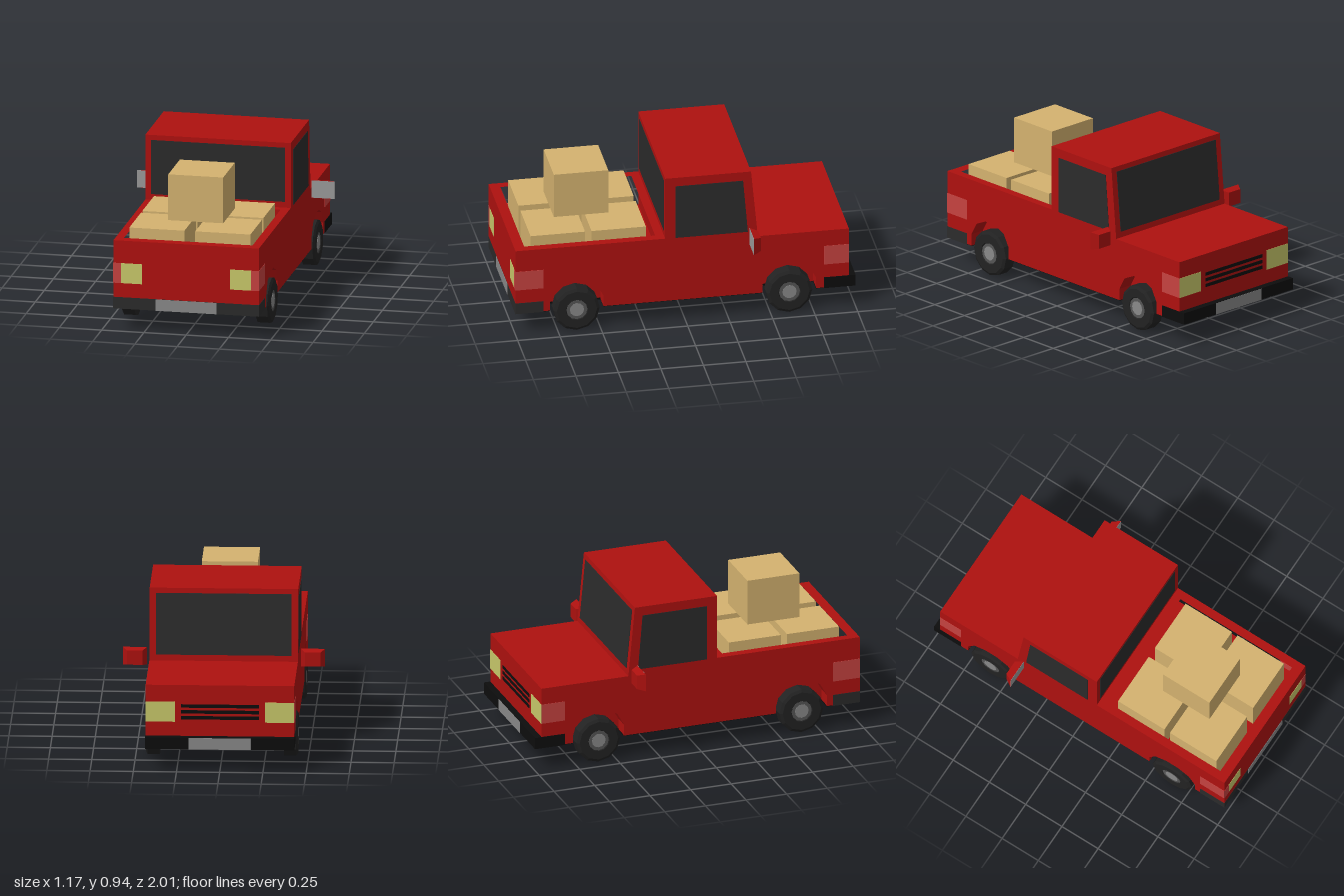
import * as THREE from 'three';

const mat = (color) => new THREE.MeshStandardMaterial({ color, flatShading: true });
const red = mat(0xae110f), black = mat(0x0d0d0d), glass = mat(0x2b2b2b), tyre = mat(0x222222);
const cardboard = mat(0xd4b26f), yellow = mat(0xc8c86a), pink = mat(0xc64240);
const grey = mat(0x888888), darkGrey = mat(0x555555), mirrorGrey = mat(0x999999);

export function createModel() {
  const truck = new THREE.Group();
  truck.name = 'pickupTruck';

  const add = (name, geometry, material) => {
    const mesh = new THREE.Mesh(geometry, material);
    mesh.name = name;
    truck.add(mesh);
    return mesh;
  };
  // Box given by its limits on each axis
  const box = (name, material, x0, x1, y0, y1, z0, z1) => {
    const g = new THREE.BoxGeometry(x1 - x0, y1 - y0, z1 - z0);
    return add(name, g.translate((x0 + x1) / 2, (y0 + y1) / 2, (z0 + z1) / 2), material);
  };
  // Side profile of [z, y] points, extruded from x0 to x1
  const profile = (name, material, points, x0, x1) => {
    const shape = new THREE.Shape(points.map(([z, y]) => new THREE.Vector2(-z, y)));
    const g = new THREE.ExtrudeGeometry(shape, { depth: x1 - x0, bevelEnabled: false });
    return add(name, g.rotateY(Math.PI / 2).translate(x0, 0, 0), material);
  };

  const W = 0.43, FLOOR = 0.33, BASE = 0.14, IN = 0.34;
  const axles = [-0.61, 0.64];

  // Lower body: solid core with side sills cut out by the wheel arches
  box('lowerBody', red, -IN, IN, BASE, FLOOR, -0.96, 1);
  const arch = [[-0.157, 0.14], [-0.157, 0.21], [-0.115, 0.285], [-0.04, 0.32],
    [0.04, 0.32], [0.115, 0.285], [0.157, 0.21], [0.157, 0.14]];
  const sill = [[-0.96, FLOOR], [-0.96, BASE]];
  for (const c of axles) sill.push(...arch.map(([z, y]) => [c + z, y]));
  sill.push([1, BASE], [1, FLOOR]);
  profile('leftSill', red, sill, IN, W);
  profile('rightSill', red, sill, -W, -IN);

  // Hood and cab with a raked windscreen
  profile('cabAndHood', red, [[-0.96, FLOOR], [0.12, FLOOR], [0.12, 0.935],
    [-0.385, 0.935], [-0.425, 0.51], [-0.96, 0.51]], -W, W);

  // Cargo bed walls
  const rect = (T, x0, x1, z0, z1) => new T([[x0, z0], [x1, z0], [x1, z1], [x0, z1]]
    .map(([x, z]) => new THREE.Vector2(x, -z)));
  const rim = rect(THREE.Shape, -W, W, 0.12, 1);
  rim.holes.push(rect(THREE.Path, -0.38, 0.38, 0.17, 0.94));
  const bed = new THREE.ExtrudeGeometry(rim, { depth: 0.545 - FLOOR, bevelEnabled: false });
  add('bedWalls', bed.rotateX(-Math.PI / 2).translate(0, FLOOR, 0), red);
  box('bedFloor', red, -0.39, 0.39, FLOOR - 0.005, FLOOR + 0.001, 0.15, 0.96);

  // Windows
  box('rearWindow', glass, -0.395, 0.395, 0.58, 0.905, 0.11, 0.122);
  const pane = [[0.058, 0.545], [0.058, 0.88], [-0.338, 0.88], [-0.366, 0.545]];
  profile('leftWindow', glass, pane, W - 0.01, W + 0.002);
  profile('rightWindow', glass, pane, -W - 0.002, -W + 0.01);
  const rake = (y) => -0.425 + (y - 0.51) * 0.04 / 0.425;
  profile('windscreen', glass, [[rake(0.545) - 0.003, 0.545], [rake(0.545) + 0.01, 0.545],
    [rake(0.905) + 0.01, 0.905], [rake(0.905) - 0.003, 0.905]], -0.392, 0.392);

  // Underside, open at the wheel arches
  box('underside', black, -IN, IN, BASE - 0.003, BASE + 0.01, -0.958, 0.998);
  for (const s of [-1, 1]) {
    const xs = s > 0 ? [IN, W - 0.002] : [-W + 0.002, -IN];
    for (const [z0, z1] of [[-0.958, -0.767], [-0.453, 0.483], [0.797, 0.998]])
      box('sillUnderside', black, ...xs, BASE - 0.003, BASE + 0.004, z0, z1);
  }

  // Bumpers and plates
  box('frontBumper', black, -W - 0.002, W + 0.002, 0.136, 0.206, -1, -0.815);
  box('rearBumper', glass, -W - 0.002, W + 0.002, 0.136, 0.205, 0.835, 1.001);
  box('frontPlate', grey, -0.18, 0.18, 0.136, 0.204, -1.002, -0.98);
  box('rearPlate', grey, -0.18, 0.18, 0.136, 0.204, 0.98, 1.003);

  // Grille slots
  for (const y of [0.315, 0.35, 0.385])
    box('grilleSlot', black, -0.225, 0.225, y - 0.01, y + 0.01, -0.962, -0.95);

  // Lamps, mirrored left and right
  for (const s of [-1, 1]) {
    const span = (name, m, a, b, z0, z1) =>
      box(name, m, Math.min(s * a, s * b), Math.max(s * a, s * b), 0.29, 0.41, z0, z1);
    span('headlamp', yellow, 0.26, W, -0.962, -0.95);
    span('frontMarker', pink, W - 0.01, W + 0.002, -0.96, -0.815);
    span('reverseLamp', yellow, 0.26, 0.385, 0.99, 1.002);
    span('tailLamp', pink, 0.385, W, 0.99, 1.002);
    span('rearMarker', pink, W - 0.01, W + 0.002, 0.835, 1);

    // Wing mirror: box tapering towards the front, glass facing back
    const g = new THREE.BoxGeometry(0.14, 0.106, 0.045);
    const p = g.attributes.position;
    for (let i = 0; i < p.count; i++)
      if (p.getZ(i) < 0) p.setXY(i, p.getX(i) * 0.64, p.getY(i) * 0.8);
    g.computeVertexNormals();
    add('wingMirror', g, red).position.set(s * 0.515, 0.523, -0.397);
    box('mirrorGlass', mirrorGrey, s * 0.515 - 0.069, s * 0.515 + 0.069, 0.471, 0.575, -0.376, -0.373);
  }

  // Axles and wheels
  for (const z of axles) {
    const axle = new THREE.CylinderGeometry(0.035, 0.035, 0.74, 8).rotateZ(Math.PI / 2);
    add('axle', axle, black).position.set(0, 0.135, z);
    for (const s of [-1, 1]) {
      const wheel = new THREE.Group();
      wheel.name = 'wheel';
      const section = [[0, -0.04], [0.135, -0.04], [0.135, 0.03], [0.118, 0.04],
        [0.066, 0.04], [0.06, 0.032], [0, 0.032]].map(([r, h]) => new THREE.Vector2(r, h));
      const parts = [['tyre', new THREE.LatheGeometry(section, 12), tyre, 0],
        ['rim', new THREE.CylinderGeometry(0.062, 0.062, 0.01, 12), darkGrey, 0.031],
        ['hubCap', new THREE.CylinderGeometry(0.042, 0.042, 0.01, 12), grey, 0.033]];
      for (const [name, g, m, h] of parts) {
        const mesh = new THREE.Mesh(g.translate(0, h, 0).rotateZ(-s * Math.PI / 2), m);
        mesh.name = name;
        wheel.add(mesh);
      }
      wheel.position.set(s * 0.4, 0.135, z);
      truck.add(wheel);
    }
  }

  // Cargo: four boxes in the bed and one on top
  for (const x of [-0.195, 0.195])
    for (const z of [0.38, 0.738])
      box('cargoBox', cardboard, x - 0.163, x + 0.163, FLOOR, 0.597, z - 0.16, z + 0.16);
  box('topCargoBox', cardboard, -0.165, 0.16, 0.605, 0.88, 0.405, 0.725);

  return truck;
}
